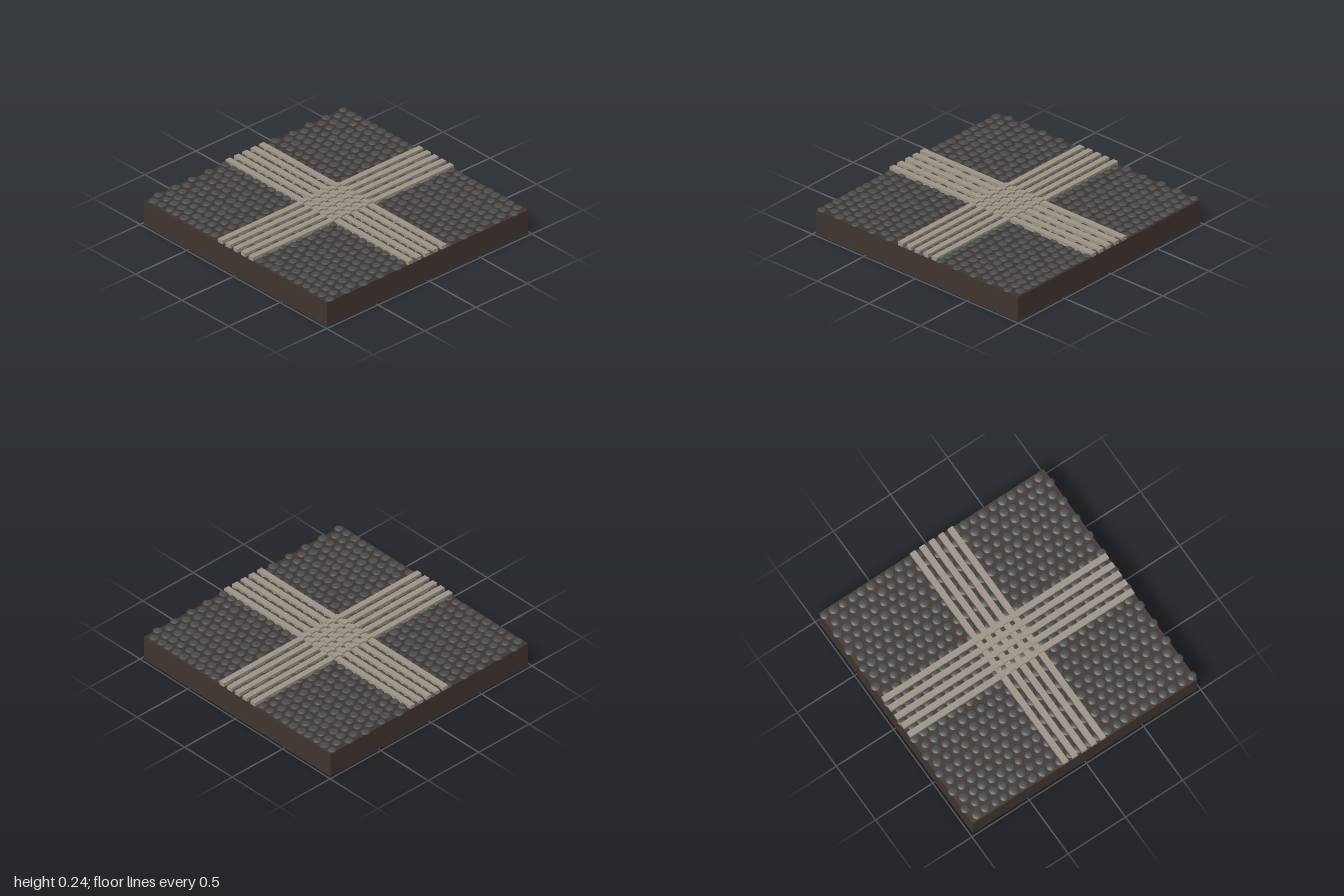
import * as THREE from 'three';
import { mergeGeometries } from 'three/addons/utils/BufferGeometryUtils.js';

const SIZE = 1.96, COUNT = 24, PITCH = SIZE / COUNT, GROUND = 0.2;

function seeded(seed) {
  return () => (seed = (seed * 16807) % 2147483647) / 2147483647;
}

export function createModel() {
  const model = new THREE.Group();
  const earth = new THREE.MeshStandardMaterial({ color: 0x403530 });
  const stone = new THREE.MeshStandardMaterial({ color: 0x4a4a4a });
  const pale = new THREE.MeshStandardMaterial({ color: 0x9c9486 });

  function add(name, geometry, material) {
    const mesh = new THREE.Mesh(geometry, material);
    mesh.name = name;
    model.add(mesh);
    return mesh;
  }
  function box(w, h, d, x, y, z) {
    return new THREE.BoxGeometry(w, h, d).translate(x, y + h / 2, z);
  }

  // Earth slab on a thin grey underside
  add('underside', box(SIZE, 0.002, SIZE, 0, 0, 0), stone);
  add('earthSlab', box(SIZE, GROUND - 0.002, SIZE, 0, 0.002, 0), earth);

  // Flattened cobbles in staggered, slightly irregular rows
  const random = seeded(4711);
  const jitter = (amount) => (random() - 0.5) * amount;
  const cobbles = [];
  for (let row = 0; row < COUNT; row++) {
    const shift = (row % 2 ? 0.25 : -0.25) * PITCH;
    for (let col = 0; col < COUNT; col++) {
      const r = 0.037 + jitter(0.007);
      const x = (col - (COUNT - 1) / 2) * PITCH + shift + jitter(0.012);
      const z = (row - (COUNT - 1) / 2) * PITCH - 0.003 + jitter(0.008);
      const limit = 1 - r;
      cobbles.push(new THREE.SphereGeometry(1, 12, 6)
        .scale(r, 0.011 + jitter(0.003), r)
        .translate(THREE.MathUtils.clamp(x, -limit, limit), GROUND + 0.006, z));
    }
  }
  add('cobbles', mergeGeometries(cobbles), stone);

  // Two crossing bands of five pale strips, with a raised block at each crossing
  const width = 0.046;
  const lines = [-2, -1, 0, 1, 2].map((i) => i * PITCH);
  add('lengthwiseStrips', mergeGeometries(
    lines.map((x) => box(width, 0.03, SIZE, x, GROUND, 0))), pale);
  add('crosswiseStrips', mergeGeometries(
    lines.map((z) => box(SIZE, 0.0295, width, 0, GROUND, z))), pale);
  add('crossingBlocks', mergeGeometries(
    lines.flatMap((x) => lines.map((z) => box(width, 0.042, width, x, GROUND, z)))), pale);

  return model;
}
